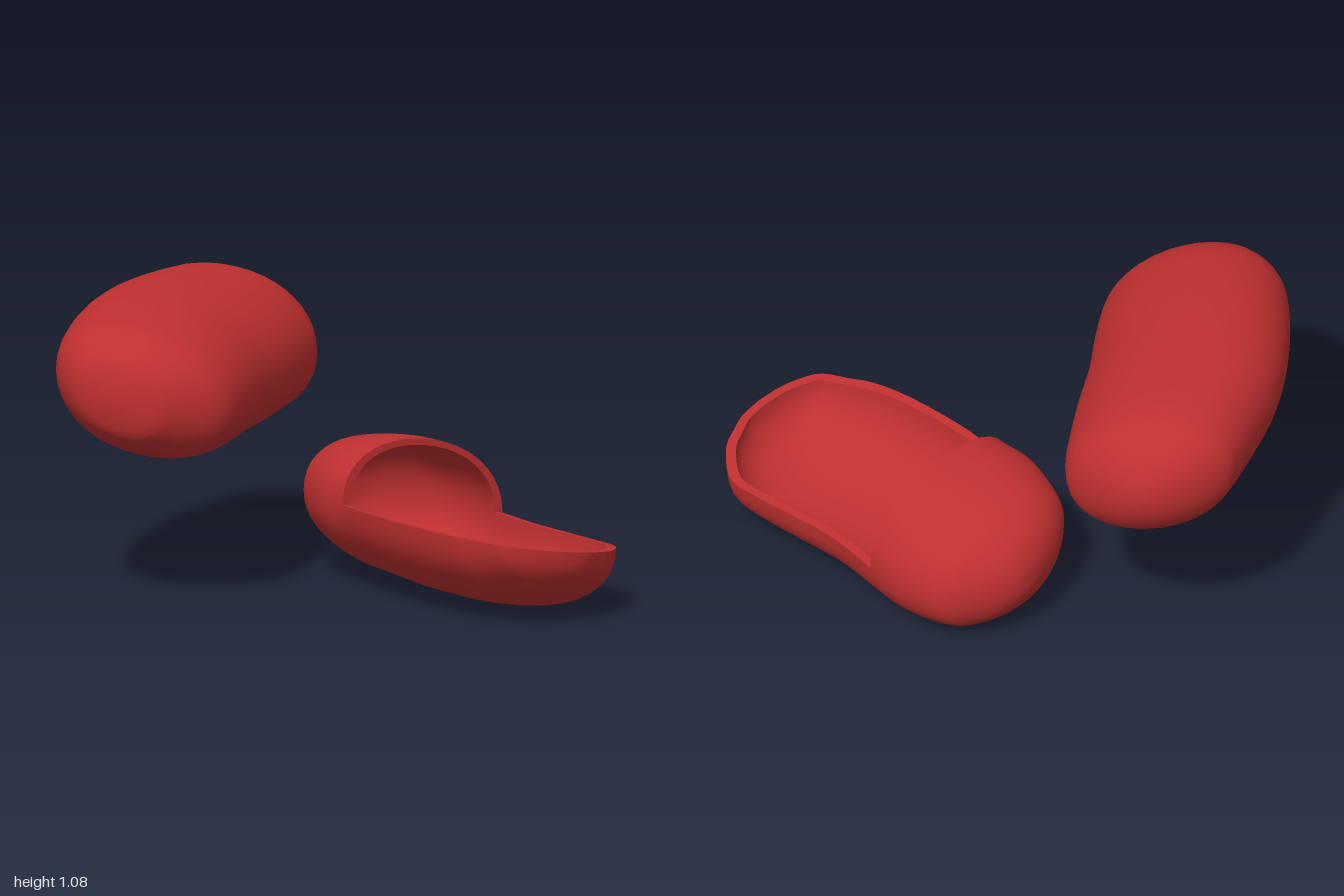
import * as THREE from 'three';
import { mergeVertices } from 'three/addons/utils/BufferGeometryUtils.js';

const SEG = 40;    // sides of each ring
const SUB = 3;     // rings per station
const TILT = 0.166; // roll of the sections

// Stations: [along, left edge, right edge, half height]
const WHOLE = [
  [-0.675, -0.51, -0.51, 0], [-0.66, -0.60, -0.44, 0.08], [-0.61, -0.71, -0.335, 0.16],
  [-0.53, -0.80, -0.225, 0.225], [-0.45, -0.83, -0.192, 0.25], [-0.35, -0.857, -0.185, 0.262],
  [-0.11, -0.909, -0.185, 0.27], [0.1, -0.92, -0.195, 0.27], [0.3, -0.905, -0.188, 0.263],
  [0.49, -0.87, -0.195, 0.245], [0.59, -0.828, -0.25, 0.222], [0.68, -0.754, -0.35, 0.165],
  [0.72, -0.68, -0.42, 0.11], [0.74, -0.57, -0.57, 0],
];
const OPEN = [
  [-0.355, 0.34, 0.34, 0], [-0.35, 0.28, 0.41, 0.06], [-0.31, 0.155, 0.50, 0.14],
  [-0.25, 0.07, 0.585, 0.19], [-0.18, 0.02, 0.64, 0.222], [-0.01, -0.027, 0.675, 0.253],
  [0.134, -0.02, 0.67, 0.26], [0.37, -0.04, 0.655, 0.265], [0.66, -0.018, 0.685, 0.262],
  [0.82, 0.02, 0.697, 0.24], [0.9, 0.06, 0.665, 0.213], [0.99, 0.105, 0.585, 0.16],
  [1.03, 0.16, 0.51, 0.12], [1.06, 0.25, 0.44, 0.07], [1.07, 0.35, 0.35, 0],
];
const CUT = 6; // station where the open shell loses its top

// Rings of points along a bean; k shrinks sections, ends shrink about the cut
function makeRings(stations, { axis, y0, rise }, k = 1, kBack = 1, kFront = 1) {
  const spline = (f) => new THREE.CatmullRomCurve3(
    stations.map(f), false, 'catmullrom', 0.5);
  const plan = spline(([u, l, r]) => new THREE.Vector3(u, (l + r) / 2, (r - l) / 2));
  const height = spline(([u, , , h]) => new THREE.Vector3(u, h, 0));
  const n = (stations.length - 1) * SUB;
  const cutU = stations[CUT][0];
  const soft = (v) => Math.sign(v) * Math.pow(Math.abs(v), 2 / 2.15);
  const rings = [];
  for (let i = 0; i <= n; i++) {
    const p = plan.getPoint(i / n);
    const h = height.getPoint(i / n).y * k;
    const u = cutU + (p.x - cutU) * (p.x < cutU ? kBack : kFront);
    const ring = [];
    for (let j = 0; j < SEG; j++) {
      const a = (j / SEG) * Math.PI * 2;
      const w = p.y + p.z * k * soft(Math.cos(a));
      const y = y0 + rise * u - TILT * w + h * soft(Math.sin(a));
      ring.push(new THREE.Vector3(axis[0] * u + axis[1] * w, y, axis[1] * u - axis[0] * w));
    }
    rings.push(ring);
  }
  return rings;
}

// Smooth skin over the rings; keep(i, j) drops cut-away panels
function skin(rings, keep = () => true, inward = false) {
  const index = [];
  for (let i = 0; i < rings.length - 1; i++) {
    for (let j = 0; j < SEG; j++) {
      if (!keep(i, j)) continue;
      const a = i * SEG + j, b = i * SEG + (j + 1) % SEG;
      const c = b + SEG, d = a + SEG;
      if (inward) index.push(a, c, b, a, d, c);
      else index.push(a, b, c, a, c, d);
    }
  }
  let geo = new THREE.BufferGeometry().setFromPoints(rings.flat());
  geo.setIndex(index);
  geo = mergeVertices(geo, 1e-5);
  geo.computeVertexNormals();
  return geo;
}

// Crisp strip joining two closed loops of points
function strip(outer, inner) {
  const pts = [];
  outer.forEach((o, i) => {
    const m = (i + 1) % outer.length;
    pts.push(o, inner[i], outer[m], inner[i], inner[m], outer[m]);
  });
  const geo = new THREE.BufferGeometry().setFromPoints(pts);
  geo.computeVertexNormals();
  return geo;
}

// Loop along the right rim, round the front, back along the left, over the arch
function rimLoop(rings) {
  const first = CUT * SUB, last = rings.length - 1, half = SEG / 2;
  const loop = [];
  for (let i = first; i <= last; i++) loop.push(rings[i][0]);
  for (let i = last - 1; i >= first; i--) loop.push(rings[i][half]);
  for (let j = half - 1; j > 0; j--) loop.push(rings[first][j]);
  return loop;
}

export function createModel() {
  const red = new THREE.MeshStandardMaterial({ color: 0xc03030, side: THREE.DoubleSide });
  red.name = 'red';
  const model = new THREE.Group();
  model.name = 'beans';
  const add = (parent, name, geo) => {
    const mesh = new THREE.Mesh(geo, red);
    mesh.name = name;
    parent.add(mesh);
  };

  // Closed bean
  add(model, 'wholeBean', skin(makeRings(WHOLE, { axis: [-0.42, 0.907], y0: 0.713, rise: 0 })));

  // Hollow bean with the top of its front cut away
  const frame = { axis: [0.447, 0.894], y0: 0.32, rise: 0.023 };
  const outer = makeRings(OPEN, frame);
  const inner = makeRings(OPEN, frame, 0.91, 0.93, 0.965);
  const keep = (i, j) => i < CUT * SUB || j >= SEG / 2;
  const shell = new THREE.Group();
  shell.name = 'openBean';
  add(shell, 'outerShell', skin(outer, keep));
  add(shell, 'innerShell', skin(inner, keep, true));
  add(shell, 'cutRim', strip(rimLoop(outer), rimLoop(inner)));
  model.add(shell);
  return model;
}
